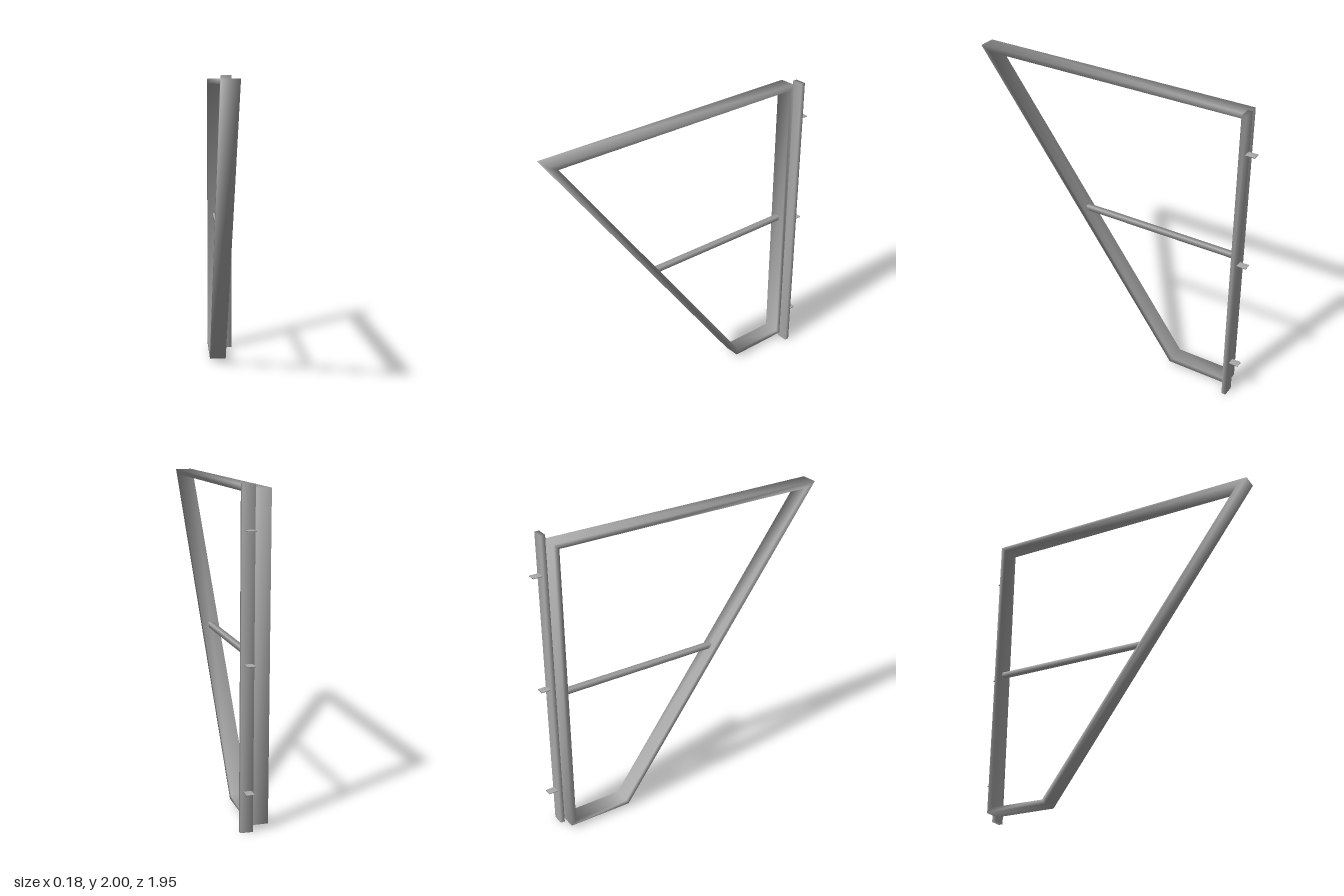
import * as THREE from 'three';
import { mergeVertices } from 'three/addons/utils/BufferGeometryUtils.js';

const steel = new THREE.MeshStandardMaterial({ color: 0xaaaaaa });
steel.name = 'steel grey';

// Share corner vertices so the shading rolls softly over the edges
function soften(geometry) {
  geometry.deleteAttribute('normal');
  geometry.deleteAttribute('uv');
  const merged = mergeVertices(geometry, 1e-4);
  merged.computeVertexNormals();
  return merged;
}

function addPart(group, name, geometry, x = 0, y = 0, z = 0) {
  const mesh = new THREE.Mesh(soften(geometry), steel);
  mesh.name = name;
  mesh.position.set(x, y, z);
  group.add(mesh);
}

export function createModel() {
  const group = new THREE.Group();
  group.name = 'gateFrame';

  // Four-sided frame, drawn as (z, y) corners and extruded across x
  const points = (list) => list.map(([z, y]) => new THREE.Vector2(z, y));
  const outline = new THREE.Shape(points([[0.977, 1.975], [-0.89, 1.975], [-0.89, 0.03], [-0.465, 0.03]]));
  outline.holes.push(new THREE.Path(points([[0.912, 1.943], [-0.482, 0.062], [-0.857, 0.062], [-0.857, 1.943]])));
  const frame = new THREE.ExtrudeGeometry(outline, { depth: 0.11, bevelEnabled: false });
  frame.rotateY(-Math.PI / 2);
  addPart(group, 'frame', frame, 0.02);

  // Cross bar between the upright and the slanted member
  addPart(group, 'crossBar', new THREE.BoxGeometry(0.032, 0.032, 1.08), -0.035, 0.995, -0.325);

  // Mounting post behind the frame
  addPart(group, 'mountingPost', new THREE.BoxGeometry(0.076, 2, 0.029), 0.048, 1, -0.904);

  // Three thin fixing tabs on the back of the post
  for (const y of [0.25, 1, 1.75]) {
    addPart(group, 'fixingTab', new THREE.BoxGeometry(0.048, 0.006, 0.06), 0.044, y, -0.948);
  }
  return group;
}
